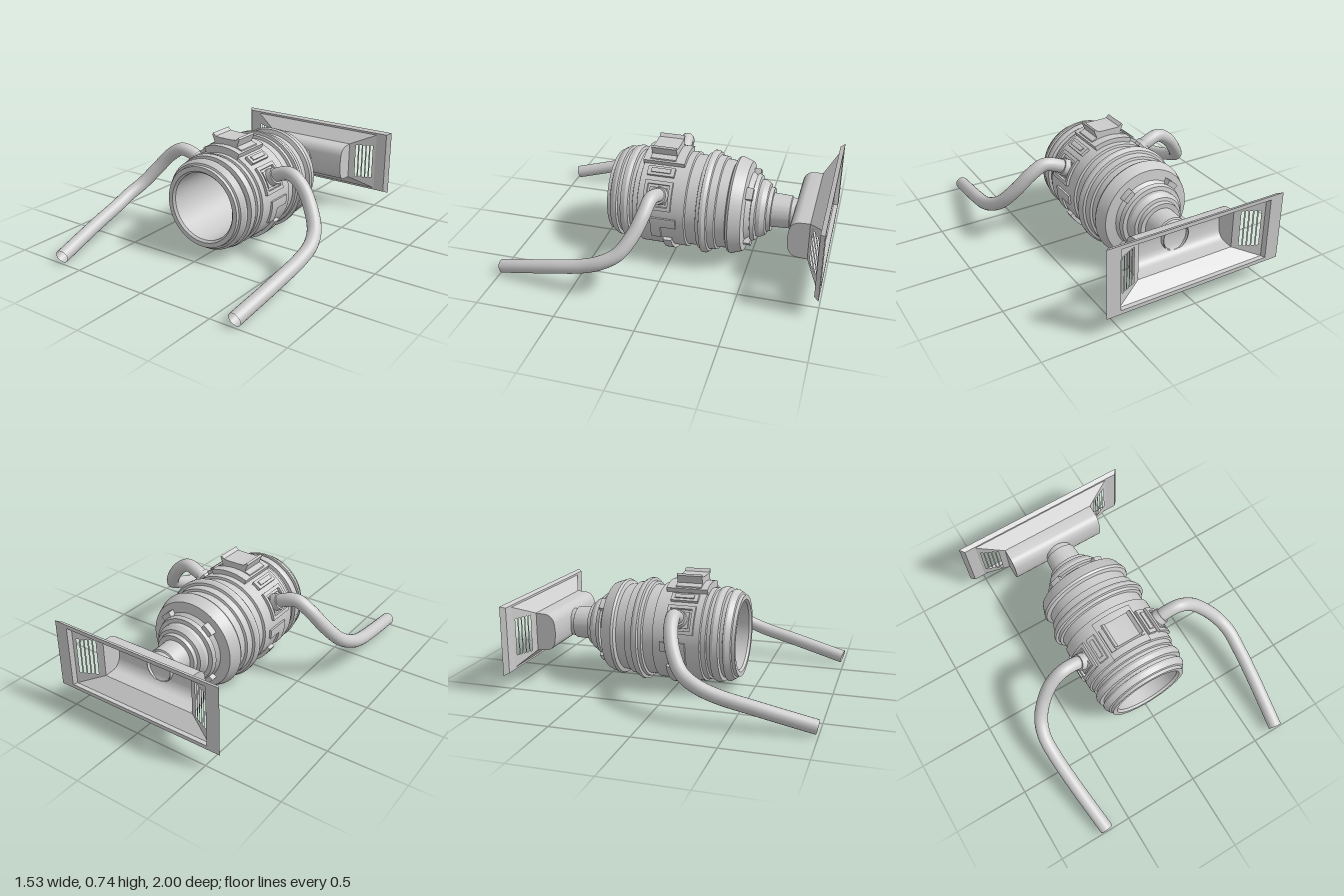
import * as THREE from 'three';
import { toCreasedNormals } from 'three/addons/utils/BufferGeometryUtils.js';

const CY = 0.342; // height of the body axis
const material = new THREE.MeshStandardMaterial({ color: 0xcccccc, side: THREE.DoubleSide });
const rad = THREE.MathUtils.degToRad;

function add(parent, name, geometry) {
  const mesh = new THREE.Mesh(geometry, material);
  mesh.name = name;
  parent.add(mesh);
  return mesh;
}

// Box bent around the body axis, spanning angles a0..a1 (degrees), z0..z1 and r0..r1
function bentPlate(a0, a1, z0, z1, r0, r1) {
  const g = new THREE.BoxGeometry(rad(a1 - a0), r1 - r0, z1 - z0, 10, 1, 1);
  const p = g.attributes.position;
  for (let i = 0; i < p.count; i++) {
    const a = rad((a0 + a1) / 2) - p.getX(i);
    const r = (r0 + r1) / 2 + p.getY(i);
    p.setXYZ(i, r * Math.cos(a), CY + r * Math.sin(a), (z0 + z1) / 2 + p.getZ(i));
  }
  g.computeVertexNormals();
  return g;
}

// Surface spanned by rows of points
function loft(rows, crease) {
  const pos = [];
  for (let i = 0; i + 1 < rows.length; i++) {
    for (let j = 0; j + 1 < rows[i].length; j++) {
      const a = rows[i][j], b = rows[i][j + 1], c = rows[i + 1][j + 1], d = rows[i + 1][j];
      pos.push(...a, ...b, ...c, ...a, ...c, ...d);
    }
  }
  const g = new THREE.BufferGeometry();
  g.setAttribute('position', new THREE.Float32BufferAttribute(pos, 3));
  return toCreasedNormals(g, crease);
}

function buildBody(group) {
  // [z, radius]: outer skin from the neck to the mouth, then back along the bore
  const profile = [
    [-0.78, 0.09], [-0.74, 0.095], [-0.735, 0.105], [-0.62, 0.11], [-0.62, 0.14], [-0.595, 0.145],
    [-0.59, 0.165], [-0.56, 0.185], [-0.535, 0.185], [-0.53, 0.21], [-0.505, 0.22], [-0.5, 0.2],
    [-0.47, 0.225], [-0.46, 0.29], [-0.45, 0.295], [-0.385, 0.318], [-0.37, 0.31], [-0.36, 0.285],
    [-0.3, 0.29], [-0.295, 0.305], [-0.25, 0.31], [-0.245, 0.325], [-0.225, 0.337], [-0.205, 0.337],
    [-0.2, 0.318], [-0.18, 0.315], [-0.175, 0.297], [-0.11, 0.297], [-0.105, 0.312], [0.2, 0.312],
    [0.205, 0.298], [0.235, 0.298], [0.24, 0.285], [0.26, 0.285], [0.265, 0.305], [0.285, 0.312],
    [0.315, 0.305], [0.32, 0.28], [0.34, 0.28], [0.345, 0.298], [0.36, 0.298], [0.39, 0.28],
    [0.395, 0.268], [0.415, 0.265], [0.415, 0.235], [0.4, 0.222], [-0.44, 0.222], [-0.44, 0.2],
    [-0.5, 0.19], [-0.5, 0.17], [-0.55, 0.165], [-0.55, 0.14], [-0.6, 0.13], [-0.6, 0.095], [-0.78, 0.085],
  ].map(([z, r]) => new THREE.Vector2(r, z));
  const shell = new THREE.LatheGeometry(profile, 72).rotateX(Math.PI / 2).translate(0, CY, 0);
  add(group, 'bodyShell', toCreasedNormals(shell, 0.5));

  // Upright rod across the back of the bore
  add(group, 'boreRod', new THREE.CylinderGeometry(0.042, 0.042, 0.41, 24).translate(0, 0.345, -0.38));
  add(group, 'boreRodSleeve', new THREE.CylinderGeometry(0.051, 0.051, 0.215, 24).translate(0, 0.345, -0.38));
}

function buildPanels(group) {
  // Raised plates: [name, angle from, angle to, z from, z to, outer radius]
  const plates = [
    ['handlePanelTop', 41, 45, -0.02, 0.16, 0.33], ['handlePanelBottom', 12, 16, -0.02, 0.16, 0.33],
    ['handlePanelBack', 16, 41, -0.02, 0, 0.33], ['handlePanelFront', 16, 41, 0.14, 0.16, 0.33],
    ['handlePanelCentre', 19, 38, 0.015, 0.125, 0.324],
    ['shoulderPlate', 51, 62, -0.015, 0.16, 0.332], ['shoulderRidge', 54, 59, 0.01, 0.135, 0.34],
    ['sideBar', -9, 2, -0.055, 0.11, 0.325], ['sideBarLeg', -26, -9, 0.045, 0.11, 0.325],
    ['lowerStrip', -82, -28, -0.02, 0.035, 0.335],
    ['coneBlockUpper', 40, 58, -0.51, -0.455, 0.25], ['coneBlockLower', -58, -40, -0.51, -0.455, 0.25],
  ];
  for (const [name, a0, a1, z0, z1, r] of plates) {
    const inner = z1 < -0.4 ? 0.19 : 0.3;
    add(group, name + 'Left', bentPlate(a0, a1, z0, z1, inner, r));
    add(group, name + 'Right', bentPlate(180 - a1, 180 - a0, z0, z1, inner, r));
  }
  add(group, 'topPlate', bentPlate(67, 113, -0.065, 0.205, 0.3, 0.343));

  // Horned bracket on the top plate
  const half = [[0.125, 0.645], [0.12, 0.67], [0.085, 0.685], [0.105, 0.735], [0.097, 0.746], [0.078, 0.727], [0.04, 0.724]];
  const outline = [...half, ...half.map(([x, y]) => [-x, y]).reverse()];
  const shape = new THREE.Shape(outline.map(([x, y]) => new THREE.Vector2(x, y)));
  add(group, 'topBracket', new THREE.ExtrudeGeometry(shape, { depth: 0.165, bevelEnabled: false }).translate(0, 0, -0.005));
}

function buildHandle(group, side) {
  const path = [
    [0.27, 0.49, 0.06], [0.34, 0.53, 0.06], [0.43, 0.55, 0.07], [0.52, 0.495, 0.085], [0.605, 0.395, 0.125],
    [0.68, 0.292, 0.2], [0.715, 0.235, 0.3], [0.717, 0.19, 0.42], [0.7, 0.135, 0.64], [0.66, 0.048, 0.99],
  ].map(([x, y, z]) => new THREE.Vector3(side * x, y, z));
  const handle = new THREE.Group();
  handle.name = side > 0 ? 'leftHandle' : 'rightHandle';
  add(handle, 'handleTube', new THREE.TubeGeometry(new THREE.CatmullRomCurve3(path), 80, 0.044, 20));
  // Collar where the tube enters the body
  const collar = add(handle, 'handleCollar', new THREE.CylinderGeometry(0.054, 0.058, 0.07, 24));
  collar.position.set(side * 0.285, 0.498, 0.06);
  collar.rotation.z = -side * rad(60);
  group.add(handle);
}

function buildIntake(group) {
  const intake = new THREE.Group();
  intake.name = 'rearIntake';
  intake.position.y = 0.35;
  group.add(intake);

  // Rectangular rim with a flat back face
  const rect = (w, h, z) => [[-w, -h, z], [w, -h, z], [w, h, z], [-w, h, z], [-w, -h, z]];
  add(intake, 'intakeRim', loft([
    rect(0.51, 0.2, -0.999), rect(0.6, 0.225, -0.999), rect(0.575, 0.213, -0.97), rect(0.5, 0.2, -0.97), rect(0.51, 0.2, -0.999),
  ], 0.3));

  // Sloping walls above and below
  for (const s of [1, -1]) {
    const rows = [[[-0.5, s * 0.2, -0.97], [0.5, s * 0.2, -0.97]], [[-0.33, s * 0.125, -0.89], [0.33, s * 0.125, -0.89]]];
    if (s > 0) rows.reverse();
    add(intake, s > 0 ? 'upperSlope' : 'lowerSlope', loft(rows, 0.3));
  }

  // Sloping end walls pierced by five slits each
  for (const s of [1, -1]) {
    const pts = (list) => list.map(([x, y]) => new THREE.Vector2(s * x, y));
    const wall = new THREE.Shape(pts([[0.33, -0.125], [0.5, -0.2], [0.5, 0.2], [0.33, 0.125]]));
    for (let i = 0; i < 5; i++) {
      const x = 0.371 + i * 0.0235;
      wall.holes.push(new THREE.Path(pts([[x, -0.12], [x, 0.12], [x + 0.015, 0.12], [x + 0.015, -0.12]])));
    }
    const g = new THREE.ShapeGeometry(wall);
    const p = g.attributes.position;
    for (let i = 0; i < p.count; i++) p.setZ(i, -0.89 - ((Math.abs(p.getX(i)) - 0.33) / 0.17) * 0.08);
    g.computeVertexNormals();
    add(intake, s > 0 ? 'leftVentWall' : 'rightVentWall', g);
  }

  // Rounded hollow scoop in front, open to the back
  const scoop = new THREE.Shape();
  scoop.moveTo(-0.89, -0.125);
  scoop.lineTo(-0.83, -0.122);
  scoop.quadraticCurveTo(-0.78, -0.118, -0.765, -0.065);
  scoop.lineTo(-0.758, 0);
  scoop.lineTo(-0.765, 0.065);
  scoop.quadraticCurveTo(-0.78, 0.118, -0.83, 0.122);
  scoop.lineTo(-0.89, 0.125);
  const points = scoop.getPoints(10);
  add(intake, 'scoopSkin', loft([0.33, -0.33].map((x) => points.map((p) => [x, p.y, p.x])), 0.5));
  for (const x of [0.33, -0.33]) {
    add(intake, 'scoopEnd', new THREE.ShapeGeometry(scoop, 10).rotateY(-Math.PI / 2).translate(x, 0, 0));
  }
}

export function createModel() {
  const group = new THREE.Group();
  group.name = 'engine';
  buildBody(group);
  buildPanels(group);
  for (const side of [1, -1]) buildHandle(group, side);
  buildIntake(group);
  return group;
}
